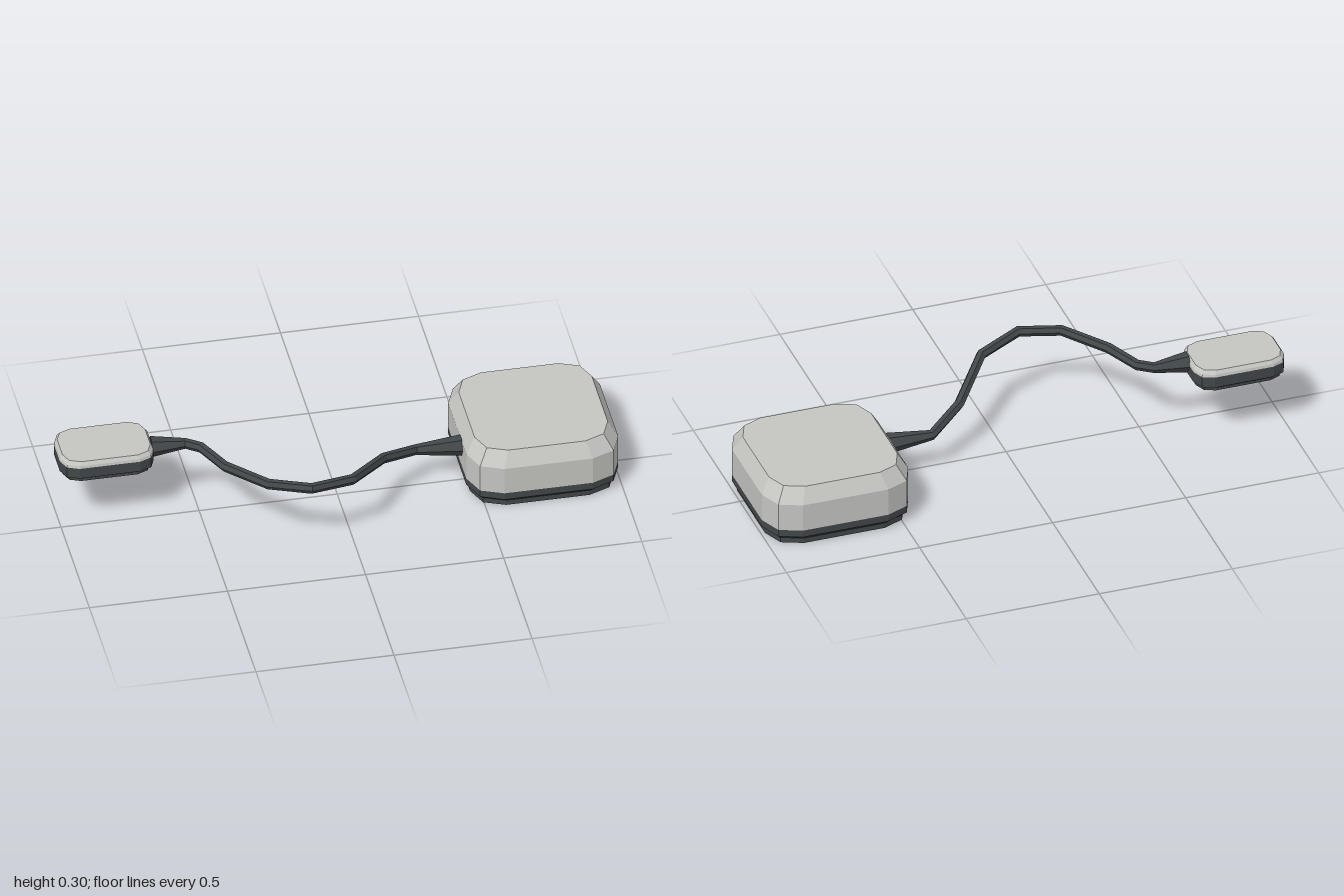
import * as THREE from 'three';

// Skin a list of equal-length rings with flat faces, closing both ends.
function loft(rings) {
  const out = [], n = rings[0].length;
  const tri = (...pts) => pts.forEach((p) => out.push(p.x, p.y, p.z));
  for (let k = 0; k < rings.length - 1; k++) {
    for (let i = 0; i < n; i++) {
      const j = (i + 1) % n, lo = rings[k], hi = rings[k + 1];
      tri(lo[i], hi[i], hi[j]);
      tri(lo[i], hi[j], lo[j]);
    }
  }
  const first = rings[0], last = rings[rings.length - 1];
  for (let i = 1; i < n - 1; i++) {
    tri(first[0], first[i], first[i + 1]);
    tri(last[0], last[i + 1], last[i]);
  }
  const g = new THREE.BufferGeometry();
  g.setAttribute('position', new THREE.Float32BufferAttribute(out, 3));
  g.computeVertexNormals();
  return g;
}

// Rectangle outline with two-segment rounded corners at height y.
function roundedRing(hx, hz, r, y) {
  const pts = [];
  [[1, 1], [-1, 1], [-1, -1], [1, -1]].forEach(([sx, sz], q) => {
    for (let s = 0; s <= 2; s++) {
      const a = (q + s / 2) * Math.PI / 2;
      pts.push(new THREE.Vector3(sx * (hx - r) + r * Math.cos(a), y, sz * (hz - r) + r * Math.sin(a)));
    }
  });
  return pts;
}

// Profile entries are [height, inset].
function casing(hx, hz, r, profile) {
  return loft(profile.map(([y, d]) => roundedRing(hx - d, hz - d, r * (1 - d / hx), y)));
}

// Hexagonal cable through points [x, y, z, radius].
function cableGeometry(path) {
  const p = path.map(([x, y, z]) => new THREE.Vector3(x, y, z));
  const up = new THREE.Vector3(0, 1, 0);
  return loft(p.map((c, i) => {
    const t = new THREE.Vector3();
    if (i > 0) t.add(c.clone().sub(p[i - 1]).normalize());
    if (i < p.length - 1) t.add(p[i + 1].clone().sub(c).normalize());
    t.normalize();
    const u = t.clone().cross(up).normalize(), v = u.clone().cross(t);
    return Array.from({ length: 6 }, (_, k) => {
      const a = k * Math.PI / 3, r = path[i][3];
      return c.clone().addScaledVector(u, r * Math.cos(a)).addScaledVector(v, r * Math.sin(a));
    });
  }));
}

export function createModel() {
  const light = new THREE.MeshStandardMaterial({ name: 'pale grey', color: 0xc5c5c2, flatShading: true });
  const dark = new THREE.MeshStandardMaterial({ name: 'charcoal', color: 0x424749, flatShading: true });
  const model = new THREE.Group();
  model.name = 'cabledModules';

  const add = (name, geometry, material, x = 0, z = 0) => {
    const m = new THREE.Mesh(geometry, material);
    m.name = name;
    m.position.set(x, 0, z);
    model.add(m);
  };

  // Large unit: stepped dark base and bevelled pale cover
  add('largeBase', casing(0.275, 0.275, 0.115,
    [[0, 0.015], [0.02, 0.015], [0.035, 0], [0.062, 0]]), dark, 0.725, -0.075);
  add('largeCover', casing(0.275, 0.275, 0.115,
    [[0.062, 0], [0.168, 0], [0.224, 0.034]]), light, 0.725, -0.075);

  // Small unit
  add('smallBase', casing(0.17, 0.113, 0.06,
    [[0.21, 0.012], [0.221, 0.012], [0.23, 0], [0.272, 0]]), dark, -0.83, -0.075);
  add('smallCover', casing(0.17, 0.113, 0.06,
    [[0.272, 0], [0.282, 0.002], [0.295, 0.011]]), light, -0.83, -0.075);

  // Cable with flared strain reliefs at both ends
  add('cable', cableGeometry([
    [0.46, 0.138, -0.015, 0.039],
    [0.285, 0.14, -0.017, 0.019],
    [0.15, 0.187, 0.075, 0.019],
    [0, 0.25, 0.265, 0.019],
    [-0.16, 0.277, 0.326, 0.019],
    [-0.305, 0.281, 0.275, 0.019],
    [-0.43, 0.27, 0.125, 0.019],
    [-0.49, 0.267, -0.01, 0.019],
    [-0.54, 0.267, -0.046, 0.019],
    [-0.665, 0.268, -0.05, 0.038],
  ]), dark);

  return model;
}
